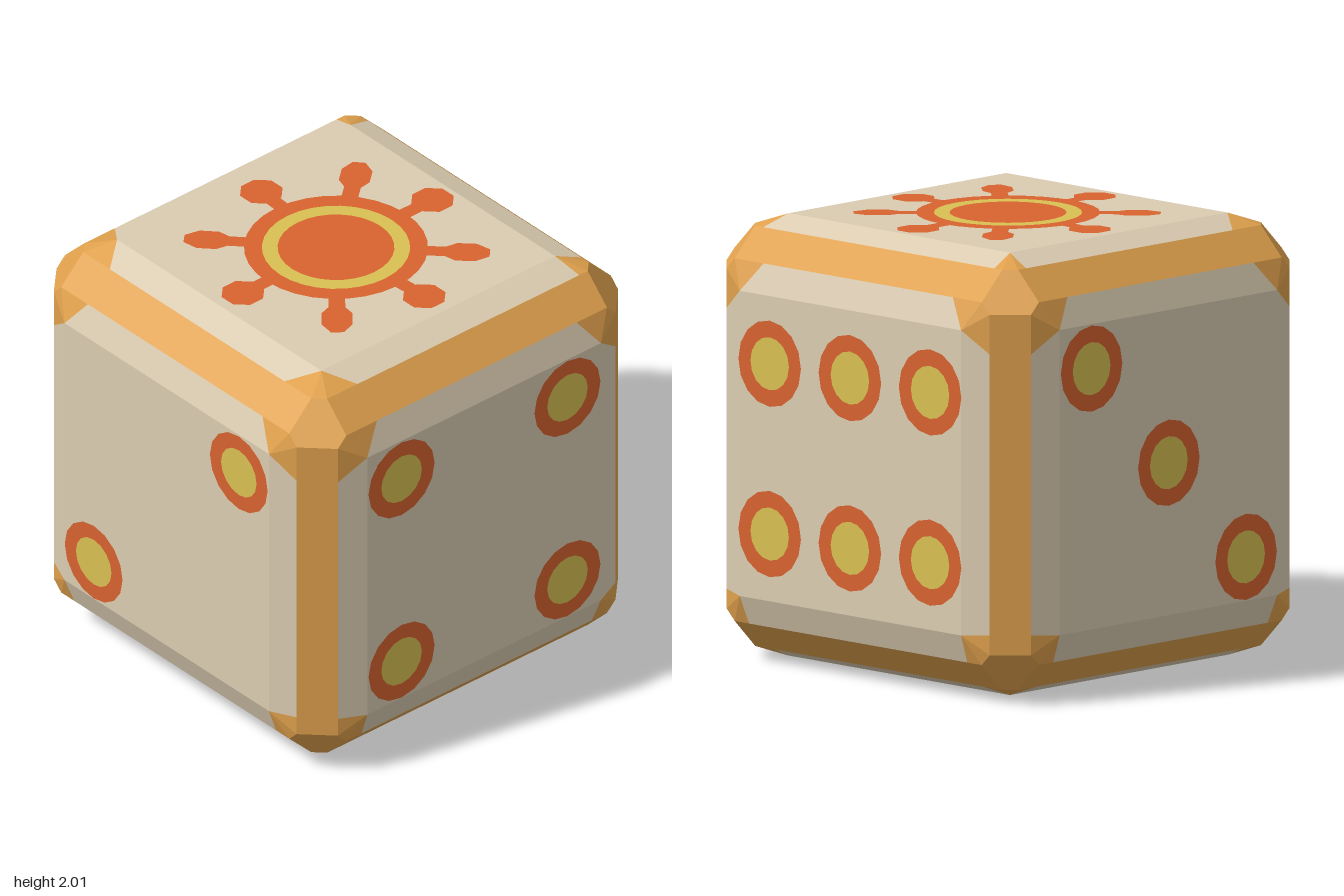
import * as THREE from 'three';

const mat = (name, color) => Object.assign(new THREE.MeshStandardMaterial({ color }), { name });

// Profile of the rounded edge: [distance along face, height]
const IN = 0.69, MID = 0.82, HIGH = 0.95, END = 0.77;

// Collects flat convex polygons, each turned to face away from the centre
function polygonSet() {
  const pos = [];
  return {
    add(...pts) {
      const v = pts.map((p) => new THREE.Vector3(...p));
      const n = v[1].clone().sub(v[0]).cross(v[2].clone().sub(v[0]));
      if (n.dot(v[0]) < 0) v.reverse();
      for (let i = 1; i < v.length - 1; i++) {
        for (const q of [v[0], v[i], v[i + 1]]) pos.push(q.x, q.y, q.z);
      }
    },
    mesh(name, material) {
      const g = new THREE.BufferGeometry();
      g.setAttribute('position', new THREE.Float32BufferAttribute(pos, 3));
      g.computeVertexNormals();
      const m = new THREE.Mesh(g, material);
      m.name = name;
      return m;
    },
  };
}

// Point with coordinate w on axis a, u and v on the next two axes
function on(a, u, v, w) {
  const p = [0, 0, 0];
  p[a] = w;
  p[(a + 1) % 3] = u;
  p[(a + 2) % 3] = v;
  return p;
}

// How far along the sloped border the corner paint reaches
function paintStart(a, p) {
  if (a !== 1) return p[1] > 0 ? 0.59 : 0.68;
  return p[1] > 0 ? (p[2] > 0 ? 0.59 : 0.72) : 0.65;
}

export function createModel() {
  const cream = mat('cream', 0xdccdb2);
  const gold = mat('goldTrim', 0xe0a14d);
  const red = mat('burntOrange', 0xd9622f);
  const yellow = mat('yellow', 0xd9c153);

  const root = new THREE.Group();
  root.name = 'die';
  const body = new THREE.Group();
  body.name = 'body';
  body.position.y = 1;
  root.add(body);

  const faces = polygonSet(), edges = polygonSet(), corners = polygonSet(), patches = polygonSet();
  const S = [-1, 1];

  for (let a = 0; a < 3; a++) {
    for (const s of S) {
      // Flat square of each face
      faces.add(on(a, -IN, -IN, s), on(a, IN, -IN, s), on(a, IN, IN, s), on(a, -IN, IN, s));
      const start = (u, v) => paintStart(a, on(a, u, v, s));
      // Sloped borders around it
      for (const t of S) {
        faces.add(on(a, -IN, t * IN, s), on(a, IN, t * IN, s),
          on(a, start(1, t), t * MID, s * HIGH), on(a, -start(-1, t), t * MID, s * HIGH));
        faces.add(on(a, t * IN, -IN, s), on(a, t * IN, IN, s),
          on(a, t * MID, start(t, 1), s * HIGH), on(a, t * MID, -start(t, -1), s * HIGH));
        // Painted triangles where the borders meet
        for (const r of S) {
          const k = start(r, t);
          const tip = on(a, r * IN, t * IN, s);
          const p = on(a, r * END, t * MID, s * HIGH), q = on(a, r * MID, t * END, s * HIGH);
          patches.add(tip, p, q);
          patches.add(tip, on(a, r * k, t * MID, s * HIGH), p);
          patches.add(tip, on(a, r * MID, t * k, s * HIGH), q);
        }
      }
      // Trim strips along the edges parallel to this axis
      for (const t of S) {
        edges.add(on(a, s * MID, t * HIGH, -END), on(a, s * MID, t * HIGH, END),
          on(a, s * HIGH, t * MID, END), on(a, s * HIGH, t * MID, -END));
      }
    }
  }

  // Six-sided corner cuts
  for (const x of S) for (const y of S) for (const z of S) {
    corners.add(...[[END, MID, HIGH], [MID, END, HIGH], [HIGH, END, MID],
      [HIGH, MID, END], [MID, HIGH, END], [END, HIGH, MID]].map((p) => [p[0] * x, p[1] * y, p[2] * z]));
  }
  body.add(faces.mesh('faces', cream), edges.mesh('edgeTrim', gold),
    corners.mesh('cornerCuts', gold), patches.mesh('cornerPaint', gold));

  // Painted marks lie just above each face
  const paint = (group, name, geometry, material, x = 0, y = 0, turn = 0) => {
    const m = new THREE.Mesh(geometry, material);
    m.name = name;
    m.position.set(x, y, 1.003);
    m.rotation.z = turn;
    group.add(m);
  };
  const faceGroup = (name, rx, ry) => {
    const g = new THREE.Group();
    g.name = name;
    g.rotation.set(rx, ry, 0);
    body.add(g);
    return g;
  };

  // Pips
  const pipRim = new THREE.RingGeometry(0.12, 0.195, 16);
  const pipCentre = new THREE.CircleGeometry(0.12, 16);
  const h = Math.PI / 2, d = 0.49;
  const four = [[-d, d], [d, d], [-d, -d], [d, -d]];
  const six = [-0.5, 0, 0.5].flatMap((x) => [[x, 0.385], [x, -0.385]]);
  const layout = [
    ['frontPips', 0, 0, [[d, d], [-d, -d]]],
    ['leftPips', 0, h, four],
    ['rightPips', 0, -h, [[-d, d], [0, 0], [d, -d]]],
    ['backPips', 0, 2 * h, six],
    ['bottomPips', h, 0, [...four, [0, 0]]],
  ];
  for (const [name, rx, ry, spots] of layout) {
    const g = faceGroup(name, rx, ry);
    for (const [x, y] of spots) {
      paint(g, 'pipRim', pipRim, red, x, y);
      paint(g, 'pipCentre', pipCentre, yellow, x, y);
    }
  }

  // Sun on the top face
  const sun = faceGroup('sun', -h, 0);
  paint(sun, 'sunDisc', new THREE.CircleGeometry(0.26, 32), red);
  paint(sun, 'sunInnerRing', new THREE.RingGeometry(0.26, 0.33, 32), yellow);
  paint(sun, 'sunOuterRing', new THREE.RingGeometry(0.33, 0.41, 32), red);
  const straight = new THREE.CircleGeometry(0.1, 8, Math.PI / 8);
  const slanted = new THREE.CircleGeometry(0.1, 8, Math.PI / 8).scale(1.15, 0.75, 1);
  const neck = new THREE.PlaneGeometry(0.14, 0.075);
  const tips = [[0.55, 0.04], [0.41, 0.41], [0, 0.57], [-0.37, 0.44],
    [-0.55, 0.04], [-0.42, -0.39], [0, -0.55], [0.43, -0.37]];
  tips.forEach(([x, y], i) => {
    const turn = Math.atan2(y, x), r = 0.45 / Math.hypot(x, y);
    paint(sun, 'sunRayTip', i % 2 ? slanted : straight, red, x, y, i % 2 ? turn : 0);
    paint(sun, 'sunRayNeck', neck, red, x * r, y * r, turn);
  });

  return root;
}
